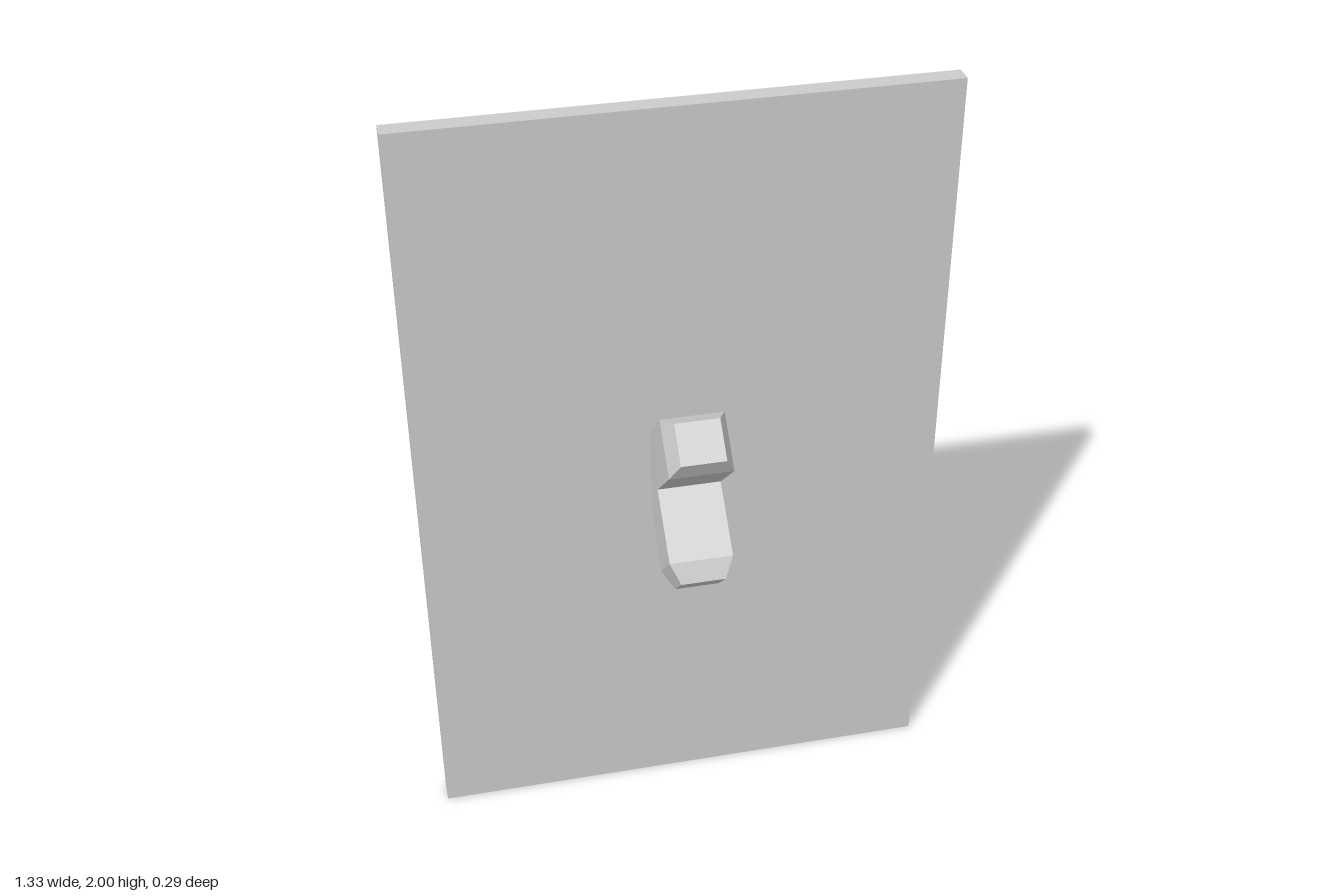
import * as THREE from 'three';

const material = new THREE.MeshStandardMaterial({ color: 0xcccccc, flatShading: true });

// Lofts four-cornered rings: each has a front point, a back point (z, y) and a half width
function loftRings(rings) {
  const corners = rings.map(([zf, yf, zb, yb, w]) => [[-w, yf, zf], [w, yf, zf], [w, yb, zb], [-w, yb, zb]]);
  const positions = [];
  const same = (a, b) => a.every((v, i) => v === b[i]);
  const tri = (a, b, c) => {
    if (!same(a, b) && !same(b, c) && !same(a, c)) positions.push(...a, ...b, ...c);
  };
  const quad = (a, b, c, d) => { tri(a, b, c); tri(a, c, d); };
  for (let i = 0; i < corners.length - 1; i++) {
    const lo = corners[i], hi = corners[i + 1];
    for (let k = 0; k < 4; k++) {
      const n = (k + 1) % 4;
      quad(lo[k], lo[n], hi[n], hi[k]);
    }
  }
  quad(...corners[corners.length - 1]);
  quad(...[...corners[0]].reverse());
  const geometry = new THREE.BufferGeometry();
  geometry.setAttribute('position', new THREE.Float32BufferAttribute(positions, 3));
  geometry.computeVertexNormals();
  return geometry;
}

export function createModel() {
  const group = new THREE.Group();

  // Flat wall plate
  const plate = new THREE.Mesh(new THREE.BoxGeometry(1.33, 2, 0.048), material);
  plate.name = 'backPlate';
  plate.position.set(0, 1, -0.121);
  group.add(plate);

  // Forked hook: upper prong from heel to tapered tip, mirrored for the lower one
  const midY = 1.02;
  const upper = [
    [-0.018, 0, -0.097, 0.113, 0.08],
    [0.12, 0.128, 0.015, 0.23, 0.08],
    [0.145, 0.178, 0.07, 0.251, 0.056],
  ];
  const place = (sign) => ([zf, yf, zb, yb, w]) => [zf, midY + sign * yf, zb, midY + sign * yb, w];
  const rings = [...upper.map(place(-1)).reverse(), ...upper.map(place(1))];
  const hook = new THREE.Mesh(loftRings(rings), material);
  hook.name = 'forkedHook';
  group.add(hook);

  return group;
}
